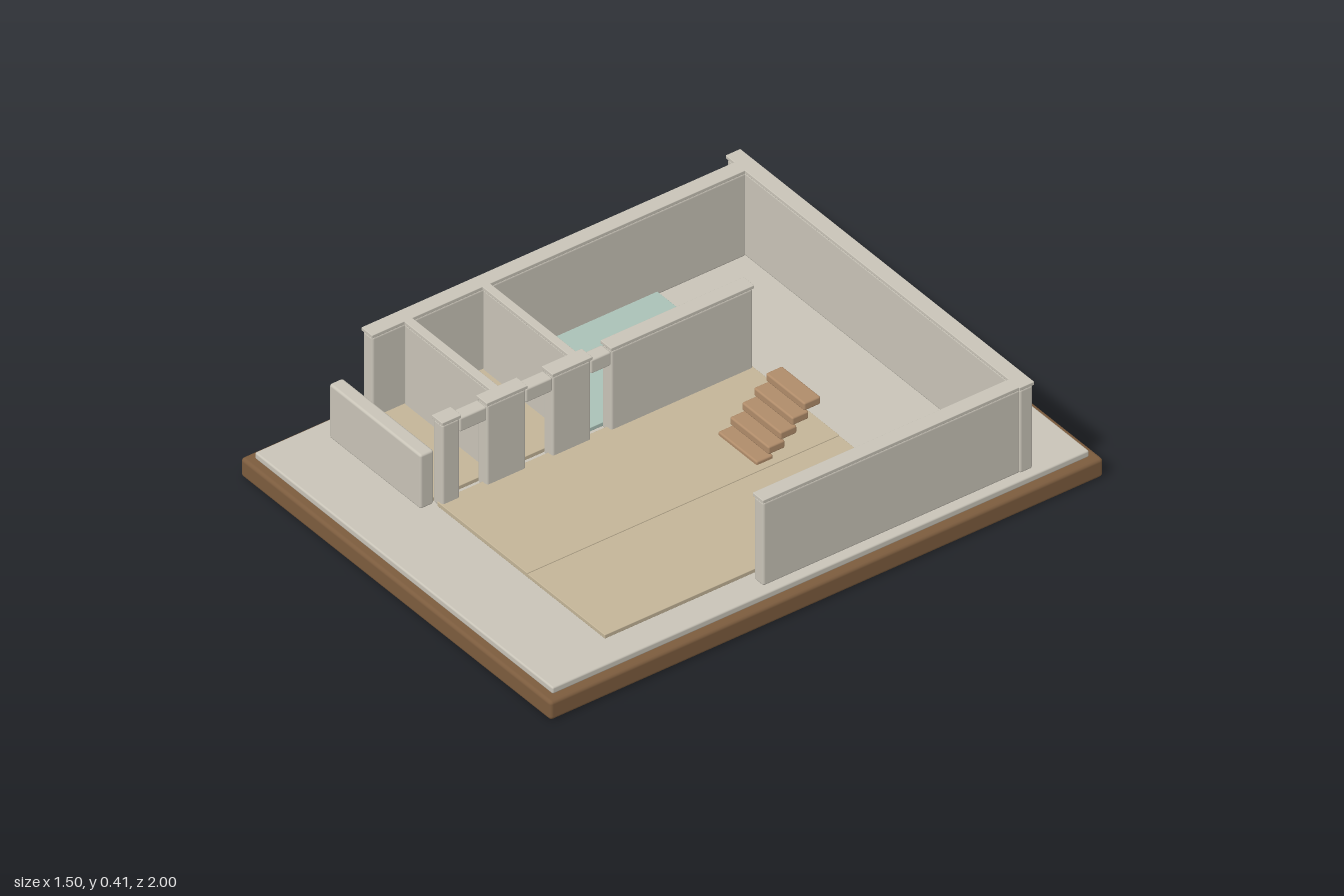
import * as THREE from 'three';
import { RoundedBoxGeometry } from 'three/addons/geometries/RoundedBoxGeometry.js';

const mat = (name, color) => {
  const m = new THREE.MeshStandardMaterial({ color });
  m.name = name;
  return m;
};

export function createModel() {
  const model = new THREE.Group();
  model.name = 'floorPlanModel';
  const wood = mat('dark wood', 0x7c5c3e);
  const plaster = mat('plaster', 0xc9c4b8);
  const tan = mat('tan floor', 0xc4b598);
  const teal = mat('teal floor', 0xaac2b7);
  const stair = mat('stair wood', 0xb08c6a);

  // Softly rounded block given by its limits on each axis
  const block = (name, material, [x0, x1], [y0, y1], [z0, z1], round = 0.008, parent = model) => {
    const size = [x1 - x0, y1 - y0, z1 - z0];
    const r = Math.min(round, Math.min(...size) * 0.3);
    const mesh = new THREE.Mesh(new RoundedBoxGeometry(...size, 2, r), material);
    mesh.position.set((x0 + x1) / 2, (y0 + y1) / 2, (z0 + z1) / 2);
    mesh.name = name;
    parent.add(mesh);
    return mesh;
  };

  // Wall with a thin, slightly overhanging cap
  const wall = (name, x, z) => {
    const g = new THREE.Group();
    g.name = name;
    block(name + 'Body', plaster, x, [0.102, 0.402], z, 0.008, g);
    const o = 0.003;
    block(name + 'Cap', plaster, [x[0] - o, x[1] + o], [0.402, 0.414], [z[0] - o, z[1] + o], 0.002, g);
    model.add(g);
  };

  // Base board and ground slab
  block('baseBoard', wood, [-0.75, 0.75], [0, 0.067], [-1, 1], 0.012);
  block('groundSlab', plaster, [-0.72, 0.72], [0.066, 0.09], [-0.97, 0.97], 0.006);

  // Outer walls
  wall('backWall', [-0.71, 0.706], [-0.777, -0.73]);
  wall('leftWall', [0.657, 0.702], [-0.735, 0.195]);
  wall('rightWall', [-0.668, -0.622], [-0.735, 0.618]);
  block('lowFrontWall', plaster, [-0.635, -0.193], [0.102, 0.296], [0.716, 0.765]);

  // Inner wall pieces with lower door headers between them
  const innerX = [-0.203, -0.157];
  const pieces = [[-0.41, 0.102], [0.175, 0.314], [0.41, 0.551], [0.649, 0.712]];
  pieces.forEach((z, i) => {
    wall('innerWall' + (i + 1), innerX, z);
    if (i) block('doorHeader' + i, plaster, innerX, [0.35, 0.4], [pieces[i - 1][1], z[0]], 0.006);
  });

  // Room partitions
  [[0.197, 0.219], [0.478, 0.502]].forEach((z, i) => wall('partition' + (i + 1), [-0.624, -0.203], z));

  // Floors
  block('hallFloor', tan, [-0.18, 0.257], [0.102, 0.118], [-0.413, 0.715], 0.002);
  block('sideFloor', tan, [0.257, 0.632], [0.102, 0.116], [-0.413, 0.715], 0.002);
  block('bathFloor', teal, [-0.636, -0.205], [0.102, 0.116], [-0.413, 0.208], 0.002);
  block('middleRoomFloor', tan, [-0.636, -0.205], [0.102, 0.116], [0.21, 0.488], 0.002);
  block('frontRoomFloor', tan, [-0.636, -0.205], [0.102, 0.116], [0.492, 0.715], 0.002);

  // Stair treads rising toward the back
  for (let i = 0; i < 5; i++) {
    const top = 0.13 + i * 0.0335;
    const front = -0.132 - i * 0.043;
    block('stairTread' + (i + 1), stair, [0.045, 0.233], [top - 0.028, top], [front - 0.06, front], 0.006);
  }
  return model;
}
